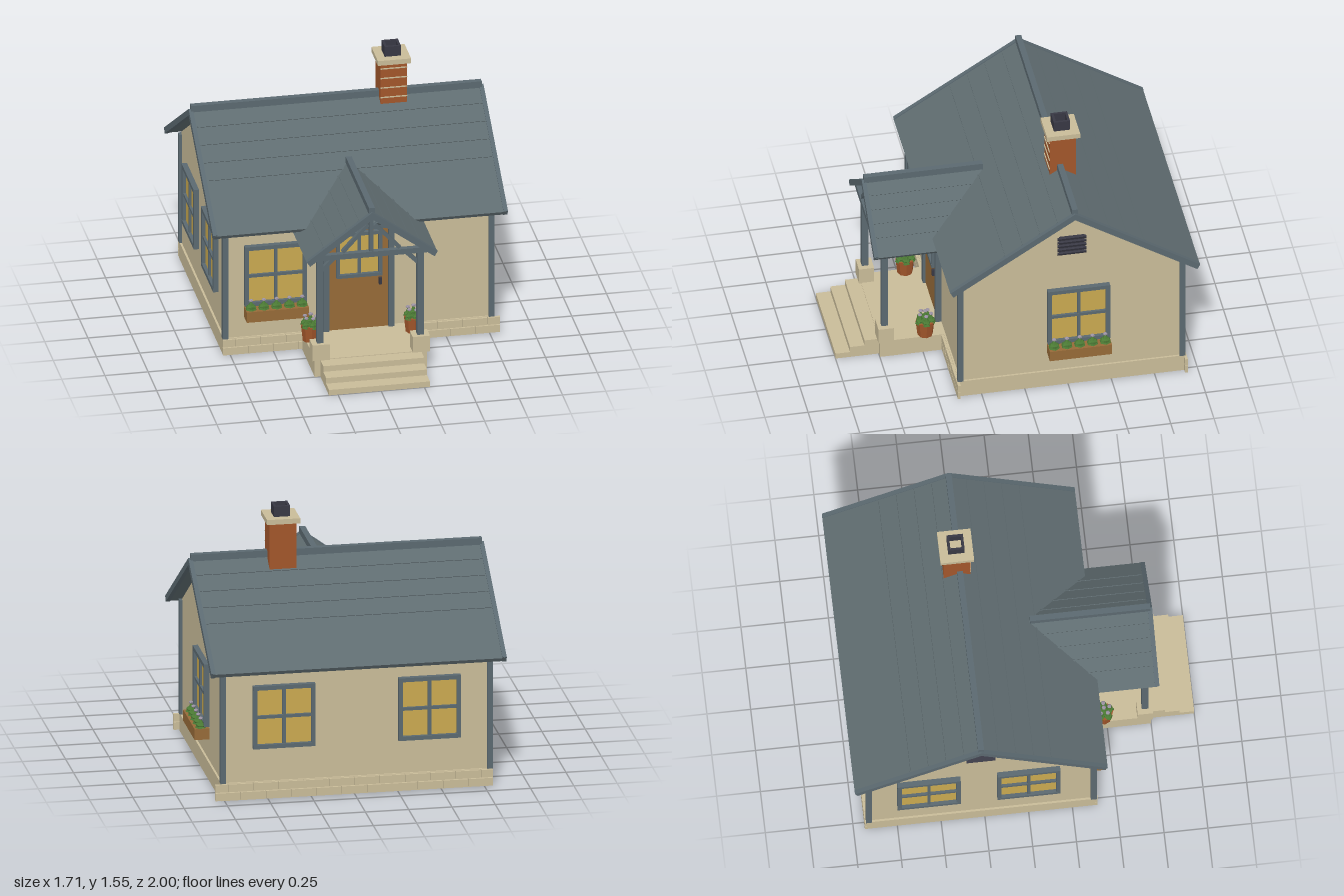
import * as THREE from 'three';

const mat = (name, color, side = THREE.FrontSide) => {
  const m = new THREE.MeshStandardMaterial({ color, side });
  m.name = name;
  return m;
};

export function createModel() {
  const cream = mat('cream', 0xc8bb98), slate = mat('roof slate', 0x5f6c70), trim = mat('trim', 0x5b6970);
  const glass = mat('warm glass', 0xc9a950), wood = mat('wood', 0x966a38), brick = mat('brick', 0xa2562b);
  const green = mat('leaves', 0x4b7a34), petal = mat('petals', 0x9b92a2), dark = mat('dark metal', 0x383843);
  [green, petal, brick].forEach((m) => { m.flatShading = true; });

  const root = new THREE.Group();
  root.name = 'cottage';
  const house = new THREE.Group();
  house.name = 'house';
  house.position.x = -0.01;
  root.add(house);

  const add = (parent, name, geo, m, x = 0, y = 0, z = 0) => {
    const mesh = new THREE.Mesh(geo, m);
    mesh.name = name;
    mesh.position.set(x, y, z);
    parent.add(mesh);
    return mesh;
  };
  // Box given by its min and max on each axis
  const box = (parent, name, m, x0, x1, y0, y1, z0, z1) =>
    add(parent, name, new THREE.BoxGeometry(x1 - x0, y1 - y0, z1 - z0), m, (x0 + x1) / 2, (y0 + y1) / 2, (z0 + z1) / 2);
  // Bar between two points in a plane of constant z
  const bar = (parent, name, m, x0, y0, x1, y1, z, w, d) => {
    const b = add(parent, name, new THREE.BoxGeometry(Math.hypot(x1 - x0, y1 - y0), w, d), m, (x0 + x1) / 2, (y0 + y1) / 2, z);
    b.rotation.z = Math.atan2(y1 - y0, x1 - x0);
    return b;
  };
  const extrude = (pts, depth) =>
    new THREE.ExtrudeGeometry(new THREE.Shape(pts.map((p) => new THREE.Vector2(...p))), { depth, bevelEnabled: false });

  // Pitched roof along z: chevron slab, course battens, gable boards and ridge cap
  const pitchedRoof = (name, half, eaveY, ridgeY, length, thick, courses, board) => {
    const g = new THREE.Group();
    g.name = name;
    const slope = Math.atan2(ridgeY - eaveY, half);
    const dx = thick * Math.sin(slope), dy = thick * Math.cos(slope), v = thick / Math.cos(slope);
    const chevron = (lift, t) => [[0, ridgeY + lift], [-half, eaveY + lift], [-half + dx * t, eaveY - dy * t],
      [0, ridgeY - v * t], [half - dx * t, eaveY - dy * t], [half, eaveY + lift]];
    add(g, name + 'Slab', extrude(chevron(0, 1), length - 0.02), slate, 0, 0, -length / 2 + 0.01);
    for (const s of [-1, 1]) {
      if (board || s > 0) add(g, 'gableBoard', extrude(chevron(0.006, 1.15), 0.025), trim, 0, 0, s > 0 ? length / 2 - 0.025 : -length / 2);
      for (const t of courses) {
        const b = add(g, 'roofCourse', new THREE.BoxGeometry(0.009, 0.008, length - 0.06), slate,
          s * half * t, ridgeY - (ridgeY - eaveY) * t, 0);
        b.rotation.z = -s * slope;
      }
    }
    box(g, 'ridgeCap', trim, -0.017, 0.017, ridgeY - 0.01, ridgeY + 0.03, -length / 2 + 0.012, length / 2 - 0.012);
    house.add(g);
    return g;
  };

  // Walls with gable ends
  const wall = extrude([[-0.91, 0.1], [0.37, 0.1], [0.37, 0.792], [-0.278, 1.208], [-0.91, 0.803]], 1.54);
  wall.translate(0, 0, -0.77).rotateY(-Math.PI / 2);
  add(house, 'walls', wall, cream);
  for (const s of [-1, 1]) for (const z of [0.372, -0.912])
    box(house, 'cornerPost', trim, s * 0.77 - 0.016, s * 0.77 + 0.016, 0.108, 0.79, z - 0.017, z + 0.017);

  // Foundation with staggered stones on front and back
  box(house, 'foundation', cream, -0.782, 0.782, 0.004, 0.108, -0.922, 0.38);
  for (const z of [0.386, -0.928]) for (let row = 0; row < 2; row++) for (let i = 0; i < 12; i++) {
    const x0 = Math.max(-0.785, -0.785 + (i - row * 0.5) * 0.146), x1 = Math.min(0.818, -0.785 + (i + 1 - row * 0.5) * 0.146 - 0.005);
    if (x1 - x0 > 0.03) box(house, 'foundationStone', cream, x0, x1, 0.01 + row * 0.05, 0.055 + row * 0.05, z - 0.008, z + 0.008);
  }

  // Main roof
  const main = pitchedRoof('mainRoof', 0.722, 0.788, 1.247, 1.706, 0.026, [0.14, 0.28, 0.42, 0.56], true);
  main.rotation.y = Math.PI / 2;
  main.position.z = -0.278;

  // Chimney
  const chimney = new THREE.Group();
  chimney.name = 'chimney';
  chimney.position.set(0.323, 0, -0.295);
  house.add(chimney);
  box(chimney, 'chimneyStack', brick, -0.077, 0.077, 1.12, 1.462, -0.076, 0.076);
  for (let i = 0; i < 4; i++) box(chimney, 'mortarLine', cream, -0.077, 0.077, 1.247 + i * 0.06, 1.253 + i * 0.06, 0.074, 0.081);
  box(chimney, 'chimneyCap', cream, -0.096, 0.096, 1.46, 1.49, -0.096, 0.096);
  const ring = new THREE.Shape([[-0.047, -0.047], [0.047, -0.047], [0.047, 0.047], [-0.047, 0.047]].map((p) => new THREE.Vector2(...p)));
  ring.holes.push(new THREE.Path([[-0.033, -0.033], [-0.033, 0.033], [0.033, 0.033], [0.033, -0.033]].map((p) => new THREE.Vector2(...p))));
  add(chimney, 'flue', new THREE.ExtrudeGeometry(ring, { depth: 0.062, bevelEnabled: false }).rotateX(-Math.PI / 2), dark, 0, 1.49, 0);

  // Group on a wall, facing outwards
  const mount = (name, x, y, z, turn) => {
    const g = new THREE.Group();
    g.name = name;
    g.position.set(x, y, z);
    g.rotation.y = turn;
    house.add(g);
    return g;
  };
  const pane = (g, w, h, t) => {
    box(g, 'glassPane', glass, -w + 0.005, w - 0.005, -h + 0.005, h - 0.005, 0.002, 0.01);
    for (const s of [-1, 1]) {
      box(g, 'frameSide', trim, s > 0 ? w - t : -w, s > 0 ? w : -w + t, -h, h, 0, 0.03);
      box(g, 'frameRail', trim, -w, w, s > 0 ? h - t : -h, s > 0 ? h : -h + t, 0, 0.031);
    }
    box(g, 'mullion', trim, -0.009, 0.009, -h, h, 0, 0.024);
    box(g, 'crossBar', trim, -w, w, -0.009, 0.009, 0, 0.025);
  };
  // Leafy tuft with a small flower cluster
  const plant = (g, x, y, z, r) => {
    add(g, 'leaves', new THREE.ConeGeometry(r, 0.055, 6), green, x, y + 0.022, z);
    add(g, 'leaves', new THREE.IcosahedronGeometry(r * 0.9, 0).scale(1, 0.55, 1), green, x, y + 0.012, z);
    add(g, 'flower', new THREE.IcosahedronGeometry(0.014, 0).scale(1, 0.7, 1), petal, x, y + 0.052, z);
  };
  const flowerBox = (g) => {
    box(g, 'flowerBox', wood, -0.18, 0.18, -0.262, -0.197, 0, 0.085);
    for (let i = 0; i < 5; i++) plant(g, -0.148 + i * 0.074, -0.195, 0.045, 0.036);
  };

  // Windows: position, outward turn, flower box
  const R = Math.PI / 2;
  [[-0.48, 0.37, 0, true], [0.77, -0.31, R, true], [-0.77, -0.57, -R], [-0.77, 0, -R], [0.42, -0.91, 2 * R], [-0.42, -0.91, 2 * R]]
    .forEach(([x, z, turn, planted]) => {
      const g = mount('window', x, 0.495, z, turn);
      pane(g, 0.18, 0.187, 0.024);
      if (planted) flowerBox(g);
    });

  // Gable vents
  for (const s of [-1, 1]) {
    const v = mount('gableVent', s * 0.77, 0.982, -0.272, s * R);
    box(v, 'ventPlate', dark, -0.074, 0.074, -0.062, 0.062, 0, 0.008);
    for (let i = -2; i <= 2; i++) {
      const slat = box(v, 'ventSlat', dark, -0.083, 0.083, i * 0.026 - 0.008, i * 0.026 + 0.008, 0.004, 0.016);
      slat.rotation.x = 0.4;
    }
  }

  // Front door
  const door = mount('door', 0, 0, 0.37, 0);
  box(door, 'doorPanel', wood, -0.172, 0.172, 0.105, 0.735, 0, 0.018);
  for (const s of [-1, 1]) box(door, 'doorJamb', trim, s * 0.188 - 0.017, s * 0.188 + 0.017, 0.105, 0.765, 0, 0.034);
  box(door, 'doorHead', trim, -0.205, 0.205, 0.732, 0.766, 0, 0.035);
  const light = mount('doorWindow', 0, 0.581, 0.383, 0);
  pane(light, 0.132, 0.141, 0.02);
  box(door, 'doorHandle', dark, 0.115, 0.131, 0.382, 0.422, 0.015, 0.04);

  // Wall lantern
  const lamp = mount('lantern', -0.272, 0.645, 0.43, 0);
  box(lamp, 'lanternGlow', glass, -0.02, 0.02, -0.03, 0.028, -0.016, 0.016);
  box(lamp, 'lanternCap', dark, -0.026, 0.026, 0.026, 0.038, -0.023, 0.023);
  box(lamp, 'lanternBase', dark, -0.026, 0.026, -0.038, -0.028, -0.023, 0.023);
  box(lamp, 'lanternArm', dark, -0.01, 0.01, 0.0, 0.02, -0.06, -0.014);
  for (const a of [-1, 1]) for (const b of [-1, 1])
    box(lamp, 'lanternEdge', dark, a * 0.021 - 0.004, a * 0.021 + 0.004, -0.03, 0.03, b * 0.018 - 0.004, b * 0.018 + 0.004);

  // Porch floor and steps
  box(house, 'porchFloor', cream, -0.325, 0.325, 0, 0.108, 0.37, 0.748);
  for (let i = 0; i < 3; i++)
    box(house, 'step', cream, -0.292, 0.292, 0, 0.104 - i * 0.035, 0.74 + (i ? 0.01 : 0), 0.832 + i * 0.084);

  // Porch posts, braces, side beams and flower pots
  for (const s of [-1, 1]) {
    const x = s * 0.29;
    box(house, 'postBase', cream, x - 0.05, x + 0.05, 0.106, 0.204, 0.672, 0.76);
    box(house, 'porchPost', trim, x - 0.019, x + 0.019, 0.2, 0.745, 0.699, 0.737);
    box(house, 'sideBeam', trim, x - 0.016, x + 0.016, 0.735, 0.765, 0.36, 0.74);
    bar(house, 'kneeBrace', trim, x, 0.645, s * 0.19, 0.745, 0.718, 0.022, 0.024);
    bar(house, 'trussStrut', trim, s * 0.165, 0.775, s * 0.02, 0.935, 0.75, 0.02, 0.026);
    const pot = mount('flowerPot', s * 0.298, 0.106, 0.483, 0);
    add(pot, 'pot', new THREE.CylinderGeometry(0.055, 0.044, 0.098, 8), brick, 0, 0.049, 0);
    for (let i = 0; i < 5; i++) {
      const a = i * Math.PI * 0.4;
      plant(pot, Math.cos(a) * 0.034, 0.095, Math.sin(a) * 0.034, 0.028);
    }
    plant(pot, 0, 0.112, 0, 0.03);
  }
  box(house, 'frontBeam', trim, -0.335, 0.335, 0.735, 0.768, 0.735, 0.767);
  box(house, 'kingPost', trim, -0.011, 0.011, 0.76, 1.0, 0.737, 0.765);

  // Porch roof
  const porch = pitchedRoof('porchRoof', 0.378, 0.742, 1.02, 0.71, 0.026, [0.2, 0.38, 0.56, 0.74], false);
  porch.position.z = 0.437;

  return root;
}
